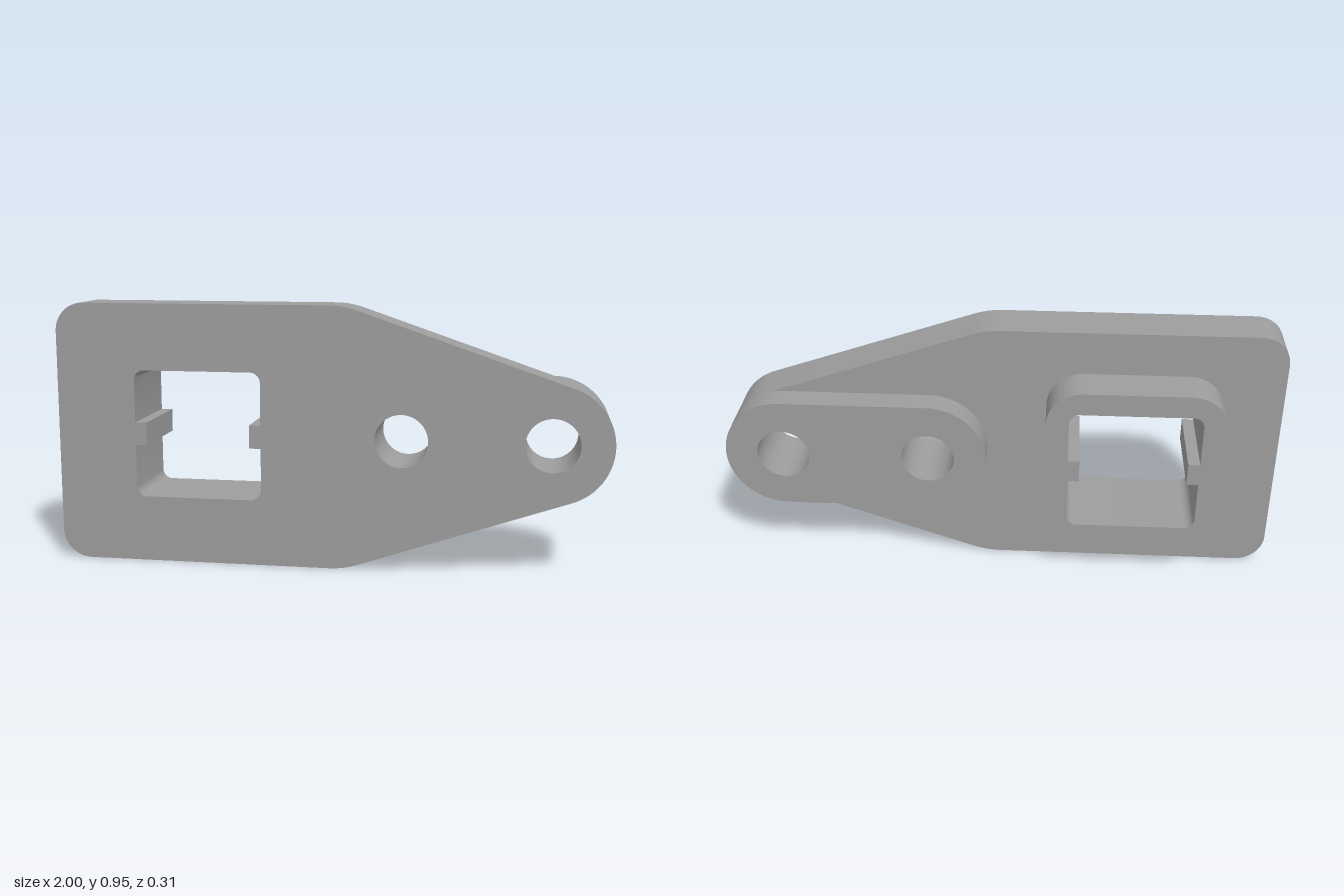
import * as THREE from 'three';
import { toCreasedNormals } from 'three/addons/utils/BufferGeometryUtils.js';

const CY = 0.474;              // height of the centre line
const FRONT = 0.158, BACK = -0.01;
const HOLES = [0.263, 0.789];  // x of the two round holes
const END_R = 0.211;
const SOCKET_X = -0.476;

// Rounded square centred on the socket
function roundedSquare(shape, half, r) {
  const x0 = SOCKET_X - half, x1 = SOCKET_X + half, y0 = CY - half, y1 = CY + half;
  shape.absarc(x1 - r, y1 - r, r, 0, Math.PI / 2);
  shape.absarc(x0 + r, y1 - r, r, Math.PI / 2, Math.PI);
  shape.absarc(x0 + r, y0 + r, r, Math.PI, Math.PI * 1.5);
  shape.absarc(x1 - r, y0 + r, r, Math.PI * 1.5, Math.PI * 2);
  shape.closePath();
  return shape;
}

// Square opening with a small key rib on each side
function socketHole() {
  const h = 0.233, r = 0.037, rib = 0.042, depth = 0.042;
  const x0 = SOCKET_X - h, x1 = SOCKET_X + h, y0 = CY - h, y1 = CY + h;
  const p = new THREE.Path();
  p.moveTo(x1 - depth, CY - rib);
  p.lineTo(x1 - depth, CY + rib);
  p.lineTo(x1, CY + rib);
  p.absarc(x1 - r, y1 - r, r, 0, Math.PI / 2);
  p.absarc(x0 + r, y1 - r, r, Math.PI / 2, Math.PI);
  p.lineTo(x0, CY + rib);
  p.lineTo(x0 + depth, CY + rib);
  p.lineTo(x0 + depth, CY - rib);
  p.lineTo(x0, CY - rib);
  p.absarc(x0 + r, y0 + r, r, Math.PI, Math.PI * 1.5);
  p.absarc(x1 - r, y0 + r, r, Math.PI * 1.5, Math.PI * 2);
  p.lineTo(x1, CY - rib);
  p.closePath();
  return p;
}

const roundHoles = () => HOLES.map((x) => new THREE.Path().absarc(x, CY, 0.095, 0, Math.PI * 2));

function slab(name, shape, zBack, zFront, material) {
  const geometry = new THREE.ExtrudeGeometry(shape, {
    depth: zFront - zBack, bevelEnabled: false, curveSegments: 32,
  });
  geometry.translate(0, 0, zBack);
  const mesh = new THREE.Mesh(toCreasedNormals(geometry, 0.5), material);
  mesh.name = name;
  return mesh;
}

export function createModel() {
  const group = new THREE.Group();
  group.name = 'mountingBracket';
  const material = new THREE.MeshStandardMaterial({ color: 0x9d9d9d });

  // Main plate: rounded rectangle tapering to a round nose
  const H = CY * 2, r = 0.105, shoulder = 0.315;
  const a = Math.PI / 2 - 0.328;   // direction of the taper's normal
  const plate = new THREE.Shape();
  plate.absarc(HOLES[1], CY, END_R, -a, a);
  plate.absarc(0.005, H - shoulder, shoulder, a, Math.PI / 2);
  plate.absarc(-1 + r, H - r, r, Math.PI / 2, Math.PI);
  plate.absarc(-1 + r, r, r, Math.PI, Math.PI * 1.5);
  plate.absarc(0.005, shoulder, shoulder, -Math.PI / 2, -a);
  plate.closePath();
  plate.holes.push(socketHole(), ...roundHoles());
  group.add(slab('plate', plate, BACK, FRONT, material));

  // Raised rim around the keyed socket
  const rim = roundedSquare(new THREE.Shape(), 0.315, 0.13);
  rim.holes.push(socketHole());
  group.add(slab('socketRim', rim, -0.157, BACK, material));

  // Raised rounded pad around the two bolt holes
  const pad = new THREE.Shape();
  pad.absarc(HOLES[1], CY, END_R, -Math.PI / 2, Math.PI / 2);
  pad.absarc(HOLES[0], CY, END_R, Math.PI / 2, Math.PI * 1.5);
  pad.closePath();
  pad.holes.push(...roundHoles());
  group.add(slab('boltPad', pad, -0.104, BACK, material));

  return group;
}
